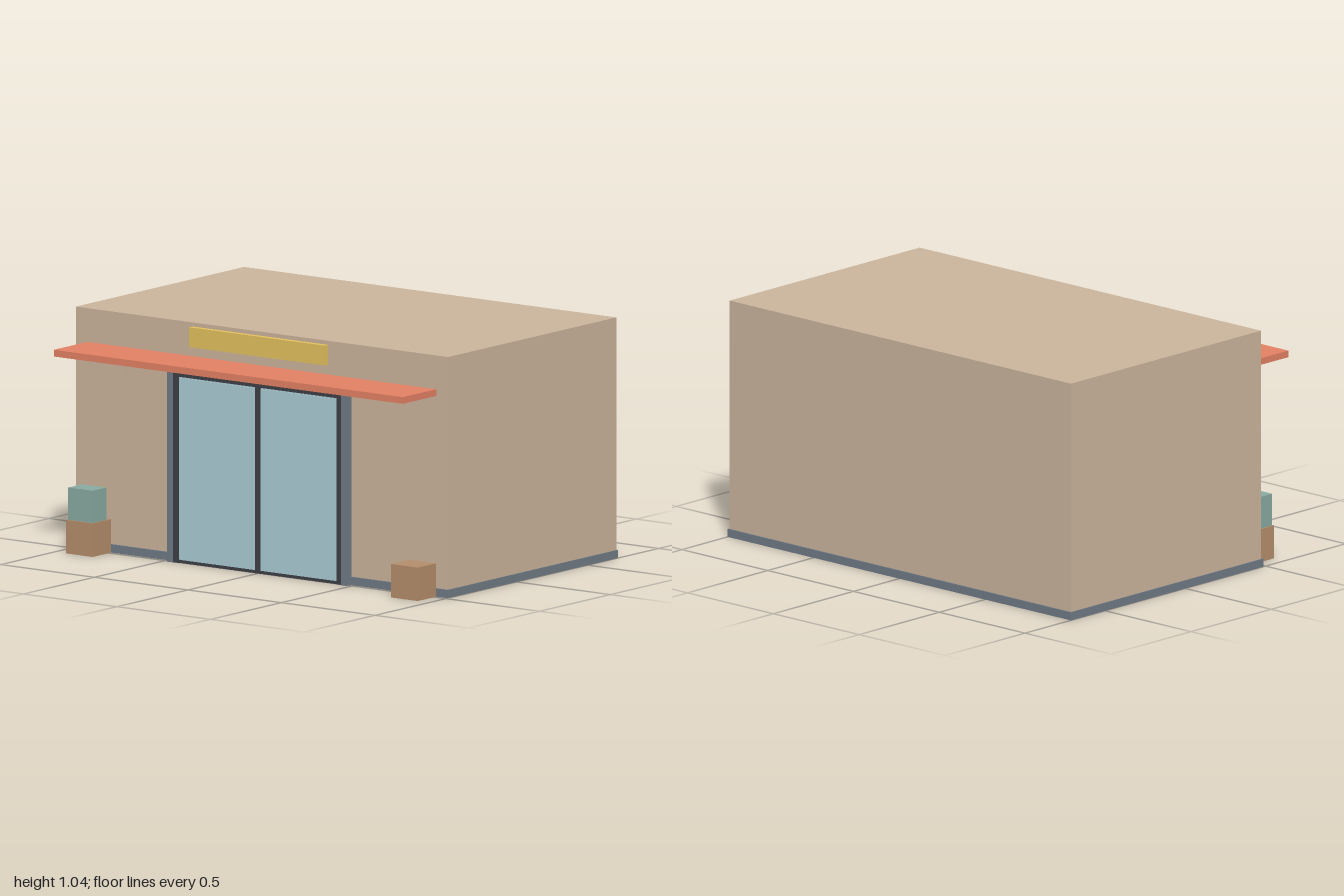
import * as THREE from 'three';

const mat = (name, color) => {
  const m = new THREE.MeshStandardMaterial({ color });
  m.name = name;
  return m;
};

export function createModel() {
  const wall = mat('tan wall', 0xcab49c);
  const slate = mat('slate trim', 0x6f7a84);
  const dark = mat('dark door frame', 0x3d3f46);
  const glass = mat('pale glass', 0xaacbd4);
  const red = mat('terracotta awning', 0xe28064);
  const gold = mat('gold sign', 0xe3c05e);
  const brown = mat('brown crate', 0xb58d6b);
  const teal = mat('teal crate', 0x88a99f);

  const model = new THREE.Group();
  model.name = 'shopfront';

  // Box given by its minimum and maximum on each axis
  const box = (name, material, [x0, x1], [y0, y1], [z0, z1]) => {
    const mesh = new THREE.Mesh(new THREE.BoxGeometry(x1 - x0, y1 - y0, z1 - z0), material);
    mesh.position.set((x0 + x1) / 2, (y0 + y1) / 2, (z0 + z1) / 2);
    mesh.name = name;
    model.add(mesh);
  };
  // Rectangular surround, open at the bottom
  const surround = (name, material, outer, inner, top, innerTop, z) => {
    const s = new THREE.Shape();
    s.moveTo(-outer, 0).lineTo(-inner, 0).lineTo(-inner, innerTop).lineTo(inner, innerTop);
    s.lineTo(inner, 0).lineTo(outer, 0).lineTo(outer, top).lineTo(-outer, top);
    const geo = new THREE.ExtrudeGeometry(s, { depth: z[1] - z[0], bevelEnabled: false });
    const mesh = new THREE.Mesh(geo, material);
    mesh.position.z = z[0];
    mesh.name = name;
    model.add(mesh);
  };

  // Building shell and plinth
  box('building', wall, [-0.995, 0.995], [0.01, 1.042], [-0.708, 0.478]);
  box('plinth', slate, [-1, 1], [0, 0.035], [-0.715, 0.487]);

  // Entrance: outer surround, dark inner frame below a narrow gap
  surround('doorSurround', slate, 0.48, 0.45, 0.863, 0.835, [0.478, 0.515]);
  surround('doorFrame', dark, 0.45, 0.424, 0.828, 0.806, [0.478, 0.511]);
  box('doorMullion', dark, [-0.013, 0.013], [0, 0.806], [0.478, 0.509]);
  box('doorSill', dark, [-0.424, 0.424], [0, 0.013], [0.478, 0.507]);

  // Two glass doors, each with a slightly raised pane
  for (const side of [-1, 1]) {
    const span = (a, b) => [side * a, side * b].sort((p, q) => p - q);
    const label = side > 0 ? 'left' : 'right';
    box(label + 'GlassDoor', glass, span(0.013, 0.424), [0.013, 0.806], [0.478, 0.503]);
    box(label + 'GlassPane', glass, span(0.013, 0.415), [0.013, 0.8], [0.503, 0.506]);
  }

  // Awning with two brackets
  box('awning', red, [-0.933, 0.933], [0.867, 0.896], [0.478, 0.715]);
  for (const x of [-0.72, 0.72])
    box('awningBracket', wall, [x - 0.025, x + 0.025], [0.784, 0.867], [0.495, 0.535]);

  // Blank sign board
  box('signBoard', gold, [-0.362, 0.362], [0.941, 1.027], [0.489, 0.513]);

  // Crates beside the entrance
  box('rightCrate', brown, [-0.94, -0.798], [0, 0.145], [0.49, 0.619]);
  box('stackedCrate', teal, [-0.934, -0.803], [0.145, 0.285], [0.514, 0.612]);
  box('leftCrate', brown, [0.798, 0.94], [0, 0.145], [0.49, 0.619]);

  return model;
}
